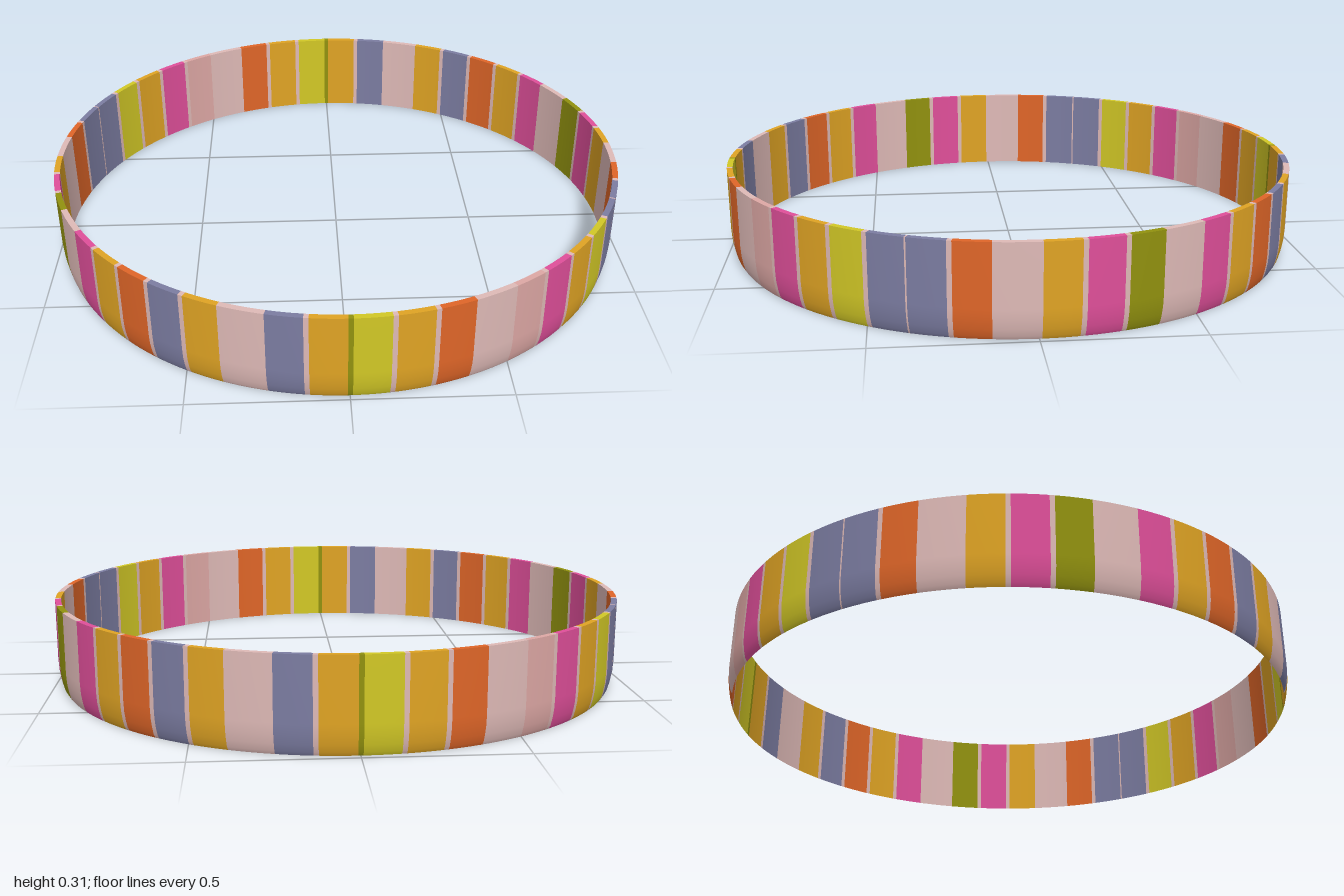
import * as THREE from 'three';

const paint = (name, color) => {
  const m = new THREE.MeshStandardMaterial({ color });
  m.name = name;
  return m;
};

// Walls of the band, each listed separately so the rim edges stay sharp
const walls = {
  outer: [[0.98, 0], [0.987, 0.012], [0.993, 0.035], [0.998, 0.065], [1, 0.1], [1, 0.305]],
  rim: [[1, 0.305], [0.98, 0.305]],
  inner: [[0.98, 0.305], [0.98, 0]],
};

// One slice of the band between two angles in degrees, measured from +z towards +x
function slice(name, from, to, material, segments) {
  const group = new THREE.Group();
  group.name = name;
  for (const [wall, points] of Object.entries(walls)) {
    const profile = points.map(([r, y]) => new THREE.Vector2(r, y));
    const geometry = new THREE.LatheGeometry(
      profile, segments, THREE.MathUtils.degToRad(from), THREE.MathUtils.degToRad(to - from));
    const mesh = new THREE.Mesh(geometry, material);
    mesh.name = `${name} ${wall}`;
    group.add(mesh);
  }
  return group;
}

export function createModel() {
  const colours = {
    Y: paint('yellow', 0xd2c826),
    G: paint('gold', 0xe0a424),
    O: paint('orange', 0xe06628),
    P: paint('dusty pink', 0xdfbab7),
    R: paint('rose', 0xdea8a5),
    M: paint('magenta', 0xe04f9a),
    S: paint('slate', 0x7c7da2),
    V: paint('olive', 0x92920f),
  };

  // The stripe sequence fills half the band and repeats on the other half
  const sequence = 'YGOPRMGYSSOPGMVPMGOSGPSG';
  const count = sequence.length * 2;
  const step = 360 / count;

  const band = new THREE.Group();
  band.name = 'band';
  // Half the width of the gap before a stripe, in degrees
  const halfGap = (i) => (i % sequence.length === 9 ? 0.15 : 0.45);
  for (let i = 0; i < count; i++) {
    const k = i % sequence.length;
    const start = i * step;
    const gap = halfGap(i);
    // Narrow divider, then the coloured stripe
    band.add(slice('divider', start - gap, start + gap, k === 0 ? colours.V : colours.P, 1));
    const material = colours[sequence[k]];
    band.add(slice(`${material.name} stripe`, start + gap, start + step - halfGap(i + 1), material, 3));
  }

  const model = new THREE.Group();
  model.name = 'striped bangle';
  model.add(band);
  return model;
}
